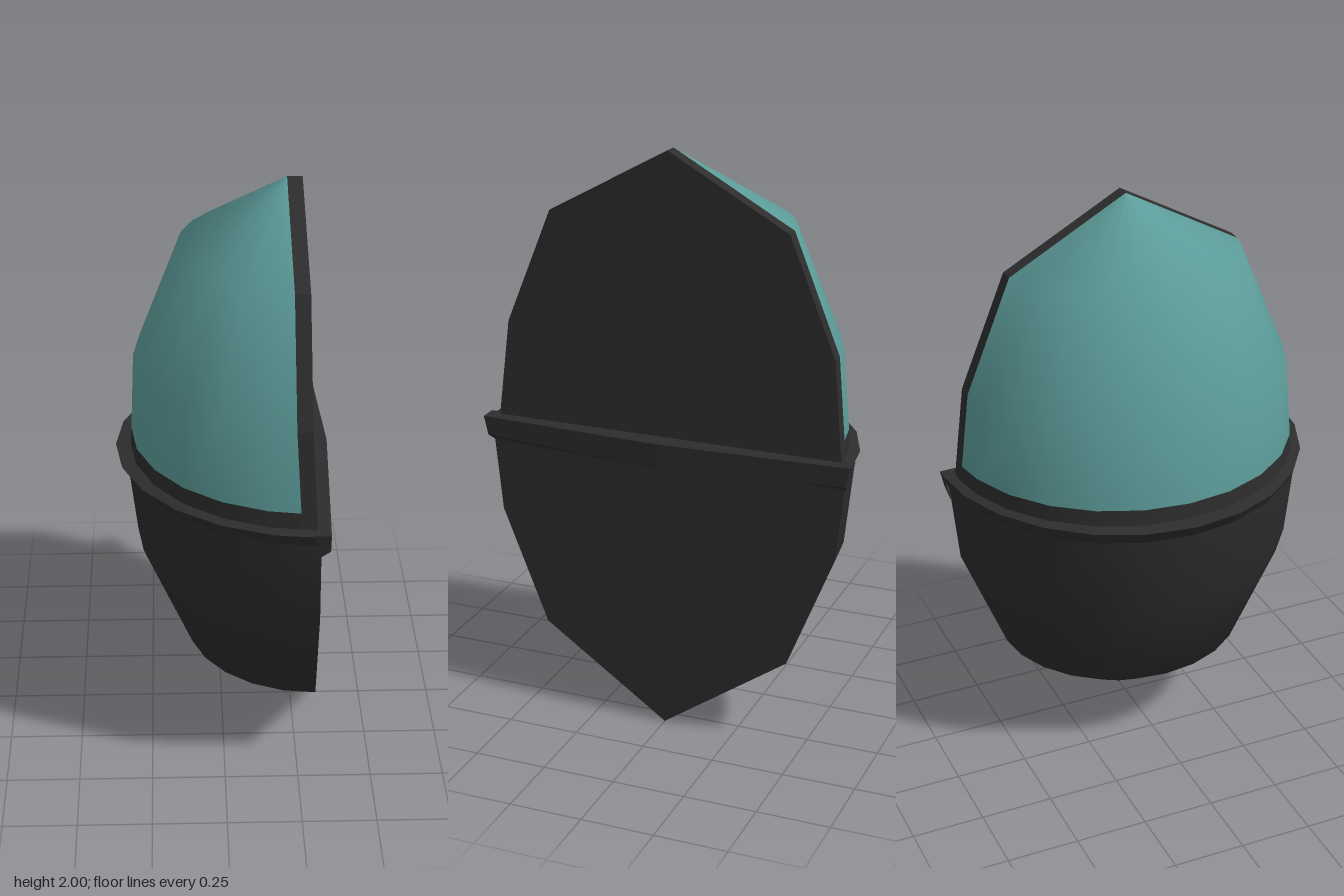
import * as THREE from 'three';

const SEGMENTS = 12;
const DARK = 0x2d2d2d, TEAL = 0x5c9c9a;

// Surface through rows of points of equal length
function sheet(rows, flat = false) {
  const n = rows[0].length, index = [];
  for (let j = 0; j < rows.length - 1; j++) {
    for (let i = 0; i < n - 1; i++) {
      const a = j * n + i, b = a + n;
      index.push(a, b, a + 1, b, b + 1, a + 1);
    }
  }
  let geo = new THREE.BufferGeometry();
  geo.setAttribute('position', new THREE.Float32BufferAttribute(rows.flat(2), 3));
  geo.setIndex(index);
  if (flat) geo = geo.toNonIndexed();
  geo.computeVertexNormals();
  return geo;
}

// Half-round cross-section behind the flat face, from +z round -x to -z.
// strip is the width of the straight border next to the flat face.
function ring([y, x, rx, rz], strip) {
  const pts = [];
  for (let i = 0; i <= SEGMENTS; i++) {
    const t = (i / SEGMENTS) * Math.PI;
    const end = i === 0 || i === SEGMENTS;
    const depth = end ? strip : Math.max(strip, rx * Math.sin(t));
    const z = rz * Math.cos(t) * (end && strip ? 0.996 : 1);
    pts.push([x - depth, y, z]);
  }
  return [[x, y, rz], ...pts, [x, y, -rz]];
}

export function createModel() {
  const model = new THREE.Group();
  const dark = new THREE.MeshStandardMaterial({ color: DARK, side: THREE.DoubleSide });
  const teal = new THREE.MeshStandardMaterial({ color: TEAL, side: THREE.DoubleSide });
  const add = (name, geo, mat = dark) => {
    const mesh = new THREE.Mesh(geo, mat);
    mesh.name = name;
    model.add(mesh);
  };
  const face = levels => sheet(levels.map(([y, x, , rz]) => [[x, y, -rz], [x, y, rz]]), true);

  // Levels: height, x of flat face, depth, half width
  const upper = [
    [1.03, 0.29, 0.6, 0.61],
    [1.1, 0.286, 0.592, 0.603],
    [1.375, 0.27, 0.565, 0.575],
    [1.77, 0.265, 0.41, 0.415],
    [2, 0.26, 0, 0],
  ];
  const lower = [
    [0, 0.31, 0, 0],
    [0.305, 0.308, 0.428, 0.44],
    [0.705, 0.304, 0.594, 0.6],
    [1, 0.3, 0.625, 0.63],
  ];

  // Upper shell: glass, its border frame and the flat face
  const rings = upper.map(l => ring(l, 0.05));
  add('glassDome', sheet(rings.slice(1).map(r => r.slice(1, -1))), teal);
  add('frameLeft', sheet(rings.map(r => r.slice(0, 2)), true));
  add('frameRight', sheet(rings.map(r => r.slice(-2)), true));
  add('frameBase', sheet(rings.slice(0, 2).map(r => r.slice(1, -1))));
  add('upperFlatFace', face(upper));

  // Lower shell
  add('lowerDome', sheet(lower.map(l => ring(l, 0).slice(1, -1))));
  add('lowerFlatFace', face(lower));

  // Curved rim flaring outward at the join
  add('rim', sheet([
    [0.985, 0.3, 0.622, 0.625],
    [1.038, 0.33, 0.69, 0.65],
    [1.045, 0.29, 0.6, 0.61],
  ].map(l => ring(l, 0).slice(1, -1)), true));

  // Bar across the flat face, thickest in the middle
  // Rows: height and x at the ends, height and x in the middle, half length
  const bar = [
    [0.95, 0.29, 0.95, 0.29, 0.63],
    [0.98, 0.33, 0.957, 0.358, 0.635],
    [1.045, 0.33, 1.045, 0.36, 0.65],
    [1.045, 0.27, 1.045, 0.27, 0.65],
  ].map(([ye, xe, ym, xm, z]) => [
    [0.3, 1, -0.64], [xe, ye, -z], [xm, ym, 0], [xe, ye, z], [0.3, 1, 0.64],
  ]);
  add('rimBar', sheet(bar, true));

  return model;
}
